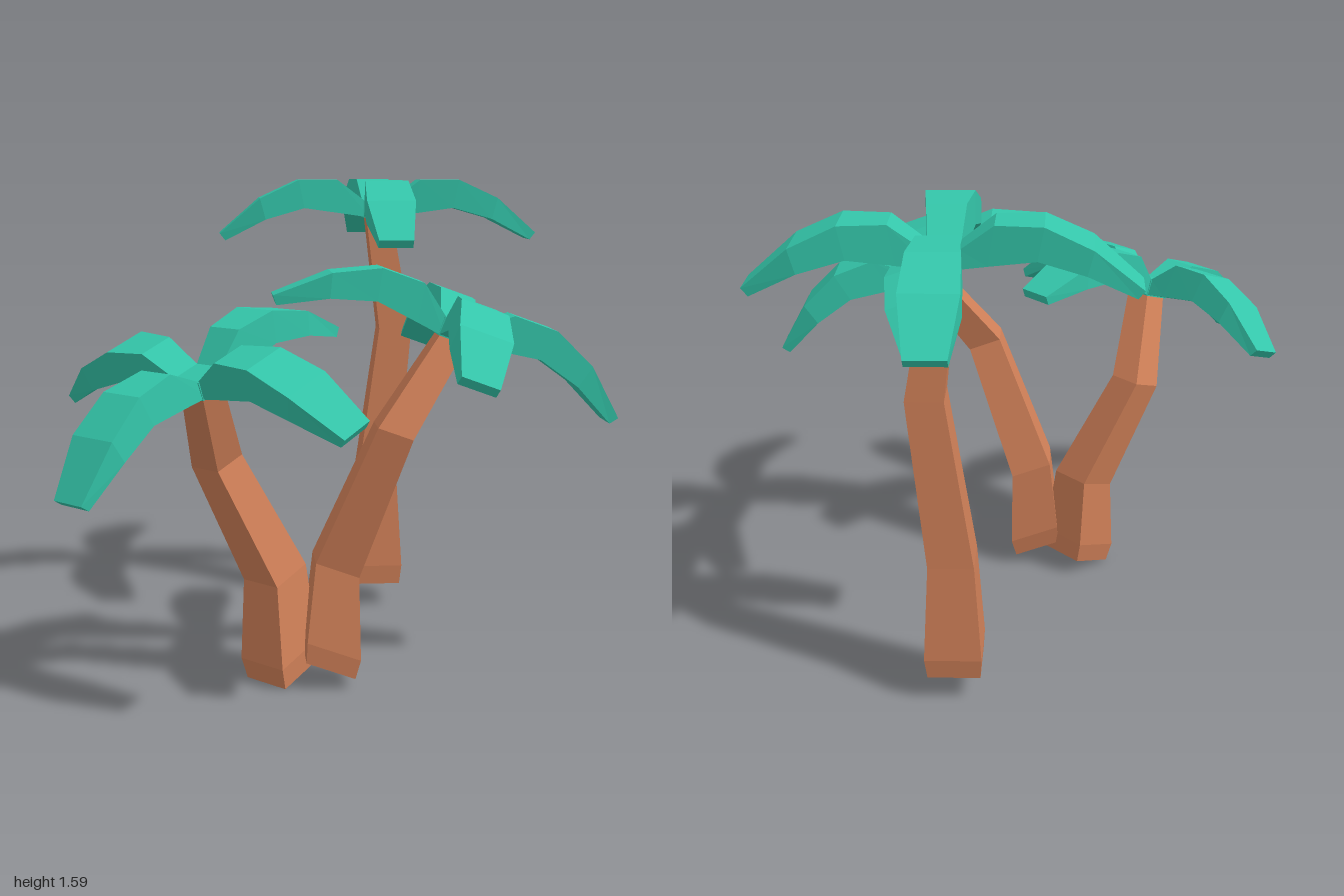
import * as THREE from 'three';

const bark = new THREE.MeshStandardMaterial({ color: 0xd08058, flatShading: true });
const leaf = new THREE.MeshStandardMaterial({ color: 0x34c6aa, flatShading: true });

// Skins a list of four-cornered rings and closes both ends, with flat faces
function loft(rings) {
  const pos = [];
  const quad = (a, b, c, d) => [a, b, c, a, c, d].forEach((v) => pos.push(v.x, v.y, v.z));
  for (let k = 0; k < rings.length - 1; k++) {
    for (let i = 0; i < 4; i++) {
      const j = (i + 1) % 4;
      quad(rings[k][i], rings[k][j], rings[k + 1][j], rings[k + 1][i]);
    }
  }
  const [s, e] = [rings[0], rings[rings.length - 1]];
  quad(s[0], s[3], s[2], s[1]);
  quad(e[0], e[1], e[2], e[3]);
  const geo = new THREE.BufferGeometry();
  geo.setAttribute('position', new THREE.Float32BufferAttribute(pos, 3));
  geo.computeVertexNormals();
  return geo;
}

// Frond sections: reach, top, underside, width
const frondSections = [
  [0.05, 0.045, -0.015, 0.10],
  [0.15, 0.12, 0.0, 0.12],
  [0.29, 0.12, 0.02, 0.15],
  [0.43, 0.055, -0.02, 0.165],
  [0.575, -0.07, -0.095, 0.115],
];
const frondGeometry = loft(frondSections.map(([x, top, under, w]) => [
  new THREE.Vector3(x, top, -w / 2),
  new THREE.Vector3(x, top, w / 2),
  new THREE.Vector3(x - 0.02, under, w / 2),
  new THREE.Vector3(x - 0.02, under, -w / 2),
]));

// Square trunk sections, all tilted with the tree: x, y, z, side
function makeTrunk(sections, tilt) {
  const corners = [[1, 1], [1, -1], [-1, -1], [-1, 1]];
  const rings = sections.map(([x, y, z, s]) => corners.map(([cx, cz]) =>
    new THREE.Vector3(cx * s / 2, 0, cz * s / 2).applyEuler(tilt).add(new THREE.Vector3(x, y, z))));
  const trunk = new THREE.Mesh(loft(rings), bark);
  trunk.name = 'trunk';
  return trunk;
}

// Four crossed fronds around a small heart
function makeCrown() {
  const crown = new THREE.Group();
  crown.name = 'crown';
  const heart = new THREE.Mesh(new THREE.BoxGeometry(0.11, 0.06, 0.11), leaf);
  heart.name = 'crownHeart';
  heart.position.y = 0.015;
  crown.add(heart);
  for (let i = 0; i < 4; i++) {
    const frond = new THREE.Mesh(frondGeometry, leaf);
    frond.name = 'frond';
    frond.rotation.y = i * Math.PI / 2;
    crown.add(frond);
  }
  return crown;
}

function makePalm(name, yaw, lean, sections) {
  const rad = THREE.MathUtils.degToRad;
  const tilt = new THREE.Euler(0, -rad(yaw), rad(lean), 'YXZ');
  const palm = new THREE.Group();
  palm.name = name;
  const crown = makeCrown();
  crown.rotation.copy(tilt);
  crown.position.set(...sections[sections.length - 1].slice(0, 3));
  palm.add(makeTrunk(sections, tilt), crown);
  return palm;
}

export function createModel() {
  const model = new THREE.Group();
  model.name = 'palmTrees';
  model.add(
    makePalm('tallPalm', 14.5, 0, [
      [0.39, 0.10, -0.425, 0.17],
      [0.392, 0.17, -0.427, 0.183],
      [0.392, 0.50, -0.43, 0.145],
      [0.455, 1.06, -0.415, 0.118],
      [0.392, 1.48, -0.43, 0.09],
    ]),
    makePalm('leftLeaningPalm', -30.6, 20, [
      [-0.19, 0.04, 0.26, 0.165],
      [-0.2, 0.11, 0.26, 0.18],
      [-0.21, 0.365, 0.245, 0.145],
      [-0.395, 0.74, 0.235, 0.115],
      [-0.49, 1.01, 0.43, 0.09],
    ]),
    makePalm('rightLeaningPalm', 14, -20, [
      [-0.06, 0.075, 0.345, 0.165],
      [-0.05, 0.14, 0.345, 0.18],
      [-0.038, 0.40, 0.345, 0.145],
      [0.1, 0.85, 0.485, 0.115],
      [0.315, 1.135, 0.44, 0.09],
    ]),
  );
  return model;
}
